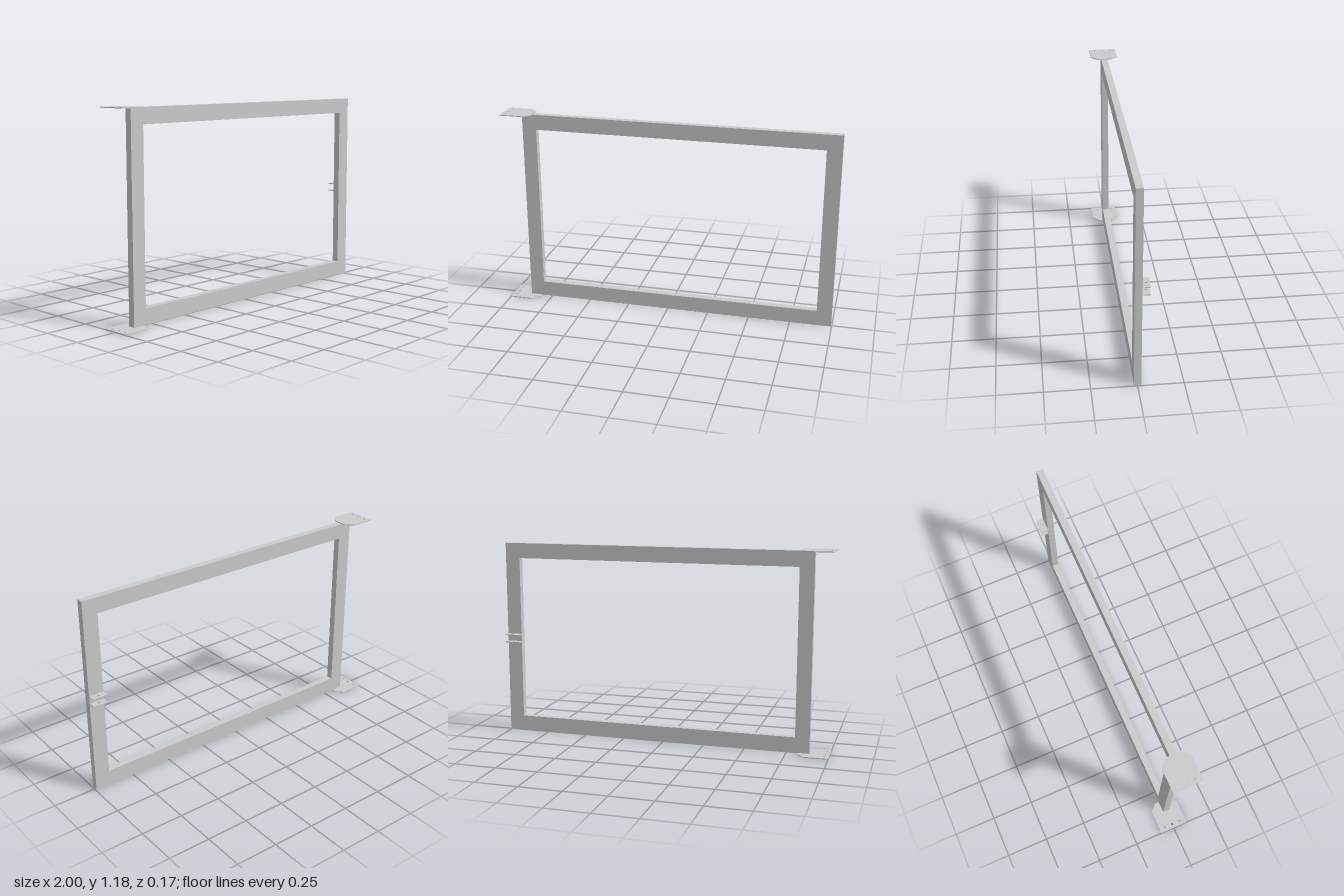
import * as THREE from 'three';

const material = new THREE.MeshStandardMaterial({ color: 0xcccccc, flatShading: true });
const SHEET = 0.005; // sheet metal thickness

function polygon(points) {
  return new THREE.Shape(points.map(([x, y]) => new THREE.Vector2(x, y)));
}

function extrude(shape, depth) {
  return new THREE.ExtrudeGeometry(shape, { depth, bevelEnabled: false, curveSegments: 10 });
}

// Flat horizontal sheet with round holes; outline is given as [x, -z]
function sheet(name, outline, holes, bottom) {
  const shape = polygon(outline);
  for (const [x, y] of holes) {
    shape.holes.push(new THREE.Path().absarc(x, y, 0.007, 0, Math.PI * 2, true));
  }
  const mesh = new THREE.Mesh(extrude(shape, SHEET).rotateX(-Math.PI / 2), material);
  mesh.name = name;
  mesh.position.y = bottom;
  return mesh;
}

export function createModel() {
  const model = new THREE.Group();
  model.name = 'gateFrame';

  // Rectangular frame of flat bars
  const y0 = SHEET, y1 = 1.178;
  const outline = polygon([[-0.885, y0], [0.997, y0], [0.997, y1], [-0.885, y1]]);
  outline.holes.push(polygon([[-0.8, 0.097], [-0.8, 1.087], [0.908, 1.087], [0.908, 0.097]]));
  const frame = new THREE.Mesh(extrude(outline, 0.04).translate(0, 0, -0.02), material);
  frame.name = 'frame';
  model.add(frame);

  // Hinge plates with chamfered corners, below and above the hinge post
  const plate = [[-1, -0.085], [-0.857, -0.085], [-0.817, -0.045],
    [-0.817, 0.045], [-0.857, 0.085], [-1, 0.085]];
  const plateHoles = [-0.05, 0, 0.05].map((z) => [-0.976, z]);
  model.add(sheet('lowerHingePlate', plate, plateHoles, 0));
  model.add(sheet('upperHingePlate', plate, plateHoles, y1));

  // Pair of latch tabs on the back of the free post
  const tab = [[0.908, 0.02], [0.997, 0.02], [0.997, 0.062], [0.908, 0.062]];
  model.add(sheet('lowerLatchTab', tab, [[0.953, 0.042]], 0.568));
  model.add(sheet('upperLatchTab', tab, [[0.953, 0.042]], 0.613));

  return model;
}
